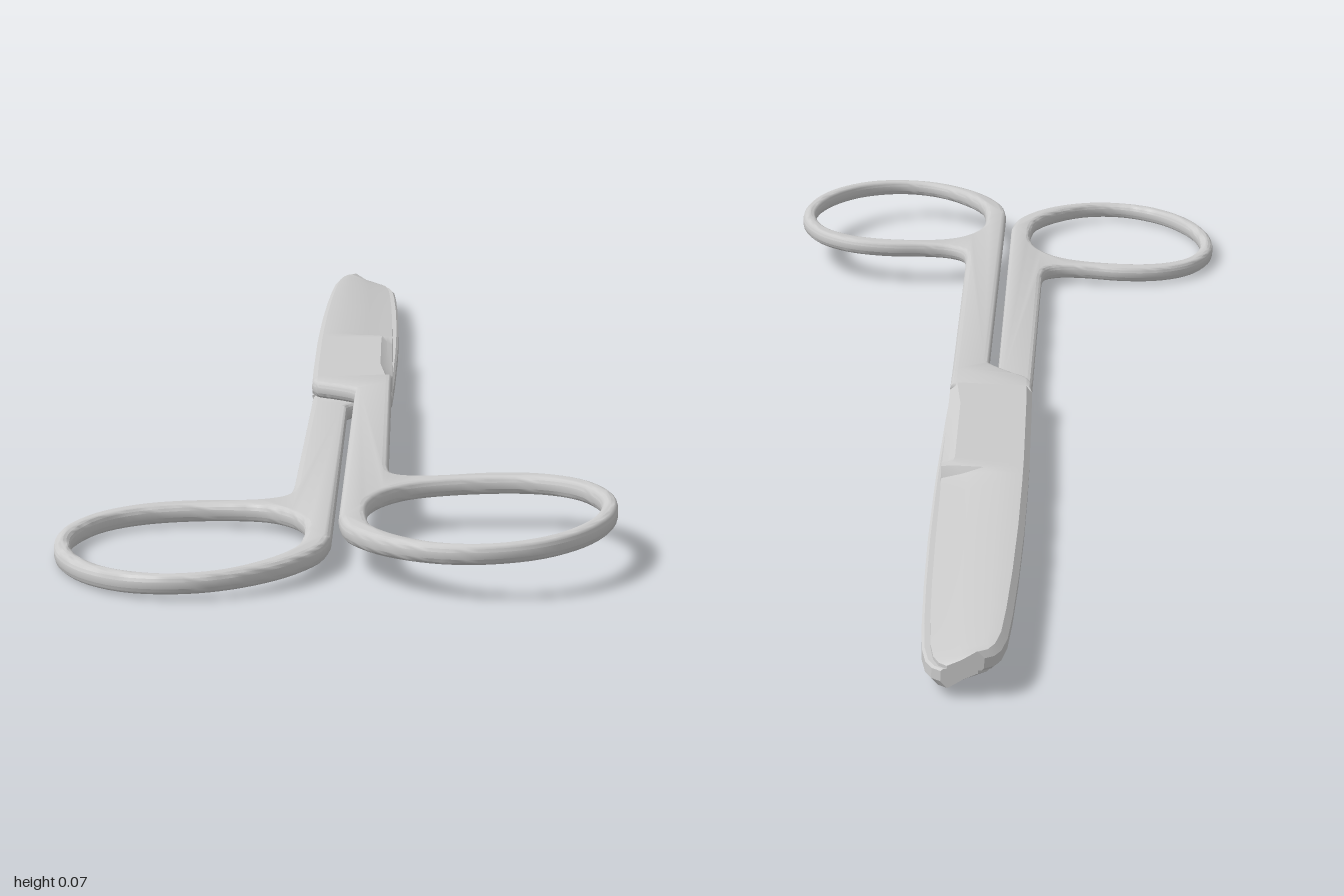
import * as THREE from 'three';
import { toCreasedNormals } from 'three/addons/utils/BufferGeometryUtils.js';

const T = 0.024;      // thickness of one half
const B = 0.008;      // edge rounding
const material = new THREE.MeshStandardMaterial({ color: 0xcccccc, roughness: 0.5 });

// plan coordinates (x, z) to shape coordinates
const pts = list => list.map(([x, z]) => new THREE.Vector2(x, -z));

// finger ring, shank and shoulder in one outline
function handleGeometry() {
  const s = new THREE.Shape();
  s.moveTo(0.058, 0.07);
  s.lineTo(0.058, 0);
  s.lineTo(0.061, -0.54);
  s.splineThru(pts([[0.067, 0.585], [0.09, 0.605], [0.13, 0.609], [0.19, 0.603], [0.25, 0.614],
    [0.3, 0.65], [0.332, 0.71], [0.341, 0.78], [0.328, 0.86], [0.292, 0.93], [0.237, 0.978],
    [0.17, 0.992], [0.11, 0.976], [0.055, 0.933], [0.016, 0.87], [0.005, 0.81]]));
  s.lineTo(0.006, -0.04);
  s.splineThru(pts([[-0.003, 0.024], [-0.03, -0.003], [-0.05, -0.02], [-0.058, -0.04]]));
  s.lineTo(-0.058, 0.07);
  s.closePath();

  // wound against the outline
  const hole = new THREE.Path();
  hole.moveTo(0.038, -0.8);
  hole.splineThru(pts([[0.046, 0.86], [0.075, 0.913], [0.12, 0.956], [0.17, 0.972], [0.217, 0.963],
    [0.264, 0.93], [0.302, 0.87], [0.32, 0.8], [0.317, 0.74], [0.291, 0.678], [0.24, 0.642],
    [0.17, 0.634], [0.1, 0.648], [0.06, 0.685], [0.04, 0.74], [0.038, 0.8]]));
  s.holes.push(hole);

  const g = new THREE.ExtrudeGeometry(s, {
    depth: T - 2 * B, bevelThickness: B, bevelSize: B, bevelOffset: -B,
    bevelSegments: 3, curveSegments: 4,
  });
  g.rotateX(-Math.PI / 2);
  g.translate(0, B, 0);
  return toCreasedNormals(g, 0.6);
}

// joint plate and hollow-ground blade: [z, spine, ridge, cutting edge, edge height]
function bladeGeometry() {
  const rows = [
    [-0.045, -0.058, 0.05, 0.058, 0.016], [-0.15, -0.06, 0.04, 0.057, 0.013],
    [-0.365, -0.062, 0.038, 0.055, 0.013], [-0.38, -0.062, 0.04, 0.055, 0.021],
    [-0.392, -0.062, 0.02, 0.055, 0.02], [-0.398, -0.062, -0.002, 0.054, 0.005],
    [-0.415, -0.062, -0.015, 0.054, 0.004], [-0.45, -0.062, -0.022, 0.053, 0.004],
    [-0.6, -0.061, -0.024, 0.051, 0.004], [-0.75, -0.058, -0.025, 0.048, 0.004],
    [-0.87, -0.054, -0.026, 0.044, 0.004], [-0.94, -0.05, -0.027, 0.04, 0.004],
    [-0.975, -0.044, -0.026, 0.035, 0.004], [-0.992, -0.036, -0.023, 0.028, 0.004],
    [-1, -0.025, -0.016, 0.018, 0.004],
  ];
  const pos = [], idx = [], n = 8, top = T - 0.0002, c = 0.003;
  for (const [z, s, r, e, h] of rows) {
    const section = [[e, 0], [e, h], [(r + e) / 2, h + (top - h) * 0.42], [r, top],
      [s + B, top], [s, top - B], [s, c], [s + c, 0]];
    for (const [x, y] of section) pos.push(x, y, z);
  }
  for (let k = 0; k < rows.length - 1; k++) {
    for (let i = 0; i < n; i++) {
      const j = (i + 1) % n, a = k * n, b = a + n;
      idx.push(a + i, b + j, a + j, a + i, b + i, b + j);
    }
  }
  // end caps
  const last = (rows.length - 1) * n;
  for (let i = 0; i < n - 2; i++) {
    idx.push(n - 1, i, i + 1);
    idx.push(last + n - 1, last + i + 1, last + i);
  }
  const g = new THREE.BufferGeometry();
  g.setAttribute('position', new THREE.Float32BufferAttribute(pos, 3));
  g.setIndex(idx);
  return toCreasedNormals(g, 0.5);
}

export function createModel() {
  const model = new THREE.Group();
  model.name = 'scissors';
  const handle = handleGeometry(), blade = bladeGeometry();

  // the two halves are the same part, turned half a turn about the long axis
  const pair = new THREE.Group();
  pair.name = 'scissorHalves';
  for (const [name, turn] of [['upper', 0], ['lower', Math.PI]]) {
    const half = new THREE.Group();
    half.name = name + 'Half';
    const handleMesh = new THREE.Mesh(handle, material);
    handleMesh.name = name + 'Handle';
    const bladeMesh = new THREE.Mesh(blade, material);
    bladeMesh.name = name + 'Blade';
    half.add(handleMesh, bladeMesh);
    half.rotation.z = turn;
    pair.add(half);
  }

  // resting pose: slightly tilted and slightly turned
  pair.rotation.set(0, 0.028, 0.036);
  pair.position.set(-0.0218, 0.0365, 0.002);
  model.add(pair);
  return model;
}
